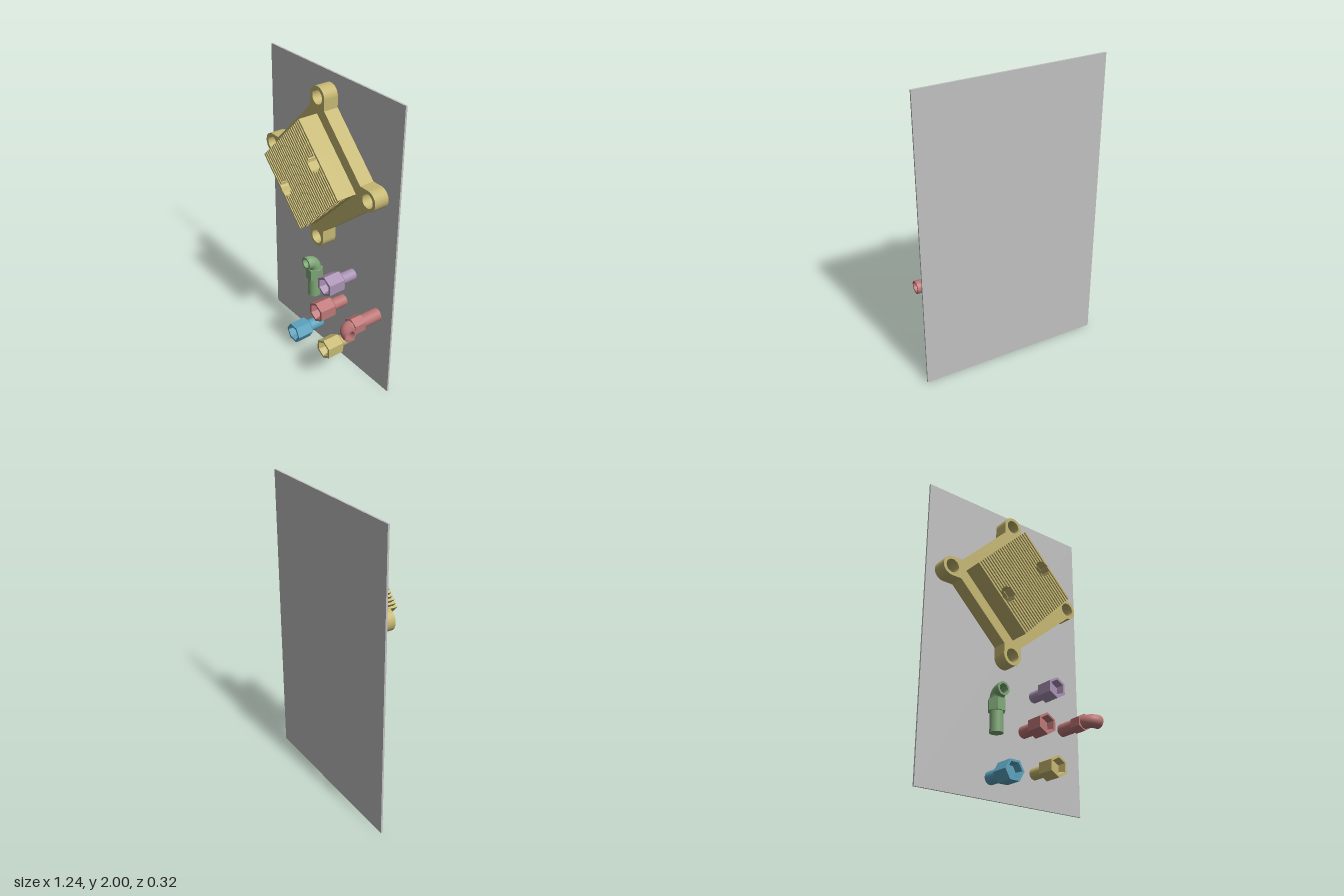
import * as THREE from 'three';

const colour = (name, hex) =>
  Object.assign(new THREE.MeshStandardMaterial({ color: hex, side: THREE.DoubleSide }), { name });

const PLATE_Z = -0.15; // front face of the backing plate

function add(parent, name, geometry, material) {
  const mesh = new THREE.Mesh(geometry, material);
  mesh.name = name;
  parent.add(mesh);
  return mesh;
}

function group(parent, name, x, y, z) {
  const g = new THREE.Group();
  g.name = name;
  g.position.set(x, y, z);
  parent.add(g);
  return g;
}

function circle(x, y, r) {
  const p = new THREE.Path();
  p.absarc(x, y, r, 0, Math.PI * 2, true);
  return p;
}

const extrude = (shape, z0, z1) =>
  new THREE.ExtrudeGeometry(shape, { depth: z1 - z0, bevelEnabled: false, curveSegments: 20 }).translate(0, 0, z0);

const polygon = (pts) => new THREE.Shape(pts.map(([x, y]) => new THREE.Vector2(x, y)));

// Round rod along +z
const rod = (r, z0, z1) =>
  new THREE.CylinderGeometry(r, r, z1 - z0, 32).rotateX(Math.PI / 2).translate(0, 0, (z0 + z1) / 2);

// Six-sided body along +z from [radius, z] pairs, corners at top and bottom
function hexBody(profile) {
  const g = new THREE.LatheGeometry(profile.map(([r, z]) => new THREE.Vector2(r, z)), 6).toNonIndexed();
  g.computeVertexNormals();
  return g.rotateX(Math.PI / 2);
}

function buildHeatSink(root, mat) {
  const sink = group(root, 'heatSink', -0.013, 1.39, 0);

  // Diamond base with a rounded, drilled ear at each corner
  const ear = 0.476, earR = 0.067;
  const base = new THREE.Shape();
  for (let k = 0; k < 4; k++) {
    const a = k * Math.PI / 2, c = Math.cos(a), s = Math.sin(a);
    const start = [0.408 * c + earR * s, 0.408 * s - earR * c];
    if (k === 0) base.moveTo(...start); else base.lineTo(...start);
    base.absarc(ear * c, ear * s, earR, a - Math.PI / 2, a + Math.PI / 2, false);
    base.lineTo(0.408 * c - earR * s, 0.408 * s + earR * c);
    base.holes.push(circle(ear * c, ear * s, 0.046));
  }
  base.closePath();
  add(sink, 'mountingBase', extrude(base, PLATE_Z, -0.05), mat);

  // Square block turned by 45 degrees, with two round pockets
  const block = group(sink, 'finBlock', 0, 0, 0);
  block.rotation.z = -Math.PI / 4;
  const H = 0.264, holeY = 0.202, holeR = 0.052, finZ = 0.015, topZ = 0.083;
  const body = polygon([[-H, -H], [H, -H], [H, H], [-H, H]]);
  body.holes.push(circle(0, holeY, holeR), circle(0, -holeY, holeR));
  add(block, 'blockBody', extrude(body, -0.05, finZ), mat);

  // Thin fins, cut away where they meet the pockets
  const count = 23, t = 0.0135, pitch = (2 * H - t) / (count - 1);
  const chord = (y) => Math.sqrt(Math.max(0, holeR ** 2 - (Math.abs(y) - holeY) ** 2));
  for (let i = 0; i < count; i++) {
    const y0 = -H + i * pitch, ym = y0 + t / 2, y1 = y0 + t;
    const [c0, cm, c1] = [y0, ym, y1].map(chord);
    if (c0 + cm + c1 === 0) {
      add(block, 'fin', extrude(polygon([[-H, y0], [H, y0], [H, y1], [-H, y1]]), finZ, topZ), mat);
      continue;
    }
    for (const s of [-1, 1]) {
      const half = [[s * c0, y0], [s * H, y0], [s * H, y1], [s * c1, y1], [s * cm, ym]];
      add(block, 'finHalf', extrude(polygon(half), finZ, topZ), mat);
    }
  }
}

// Straight fitting: round stem and socketed hexagonal head
function buildStraight(root, name, x, y, mat, stemR, turn = 0) {
  const f = group(root, name, x, y, 0);
  f.rotation.z = turn;
  add(f, 'stem', rod(stemR, PLATE_Z, -0.04), mat);
  add(f, 'hexHead', hexBody([
    [0, -0.046], [0.056, -0.046], [0.07, -0.032], [0.07, 0.083],
    [0.054, 0.083], [0.043, 0.035], [0, 0.035],
  ]), mat);
}

// Elbow fitting: stem along +z, hexagonal collar, open bend turning to +x
function buildElbow(root, name, x, y, z, mat) {
  const f = group(root, name, x, y, z);
  const R = 0.055, collarEnd = 0.213, mouthX = 0.07, outer = 0.044, bore = 0.031;
  add(f, 'stem', rod(0.043, 0, 0.14), mat);
  add(f, 'hexCollar', hexBody([[0, 0.135], [0.0575, 0.135], [0.0575, collarEnd], [0, collarEnd]]), mat);

  const pts = [];
  for (let i = 0; i <= 8; i++) {
    const a = i / 8 * Math.PI / 2;
    pts.push(new THREE.Vector3(R * (1 - Math.cos(a)), 0, collarEnd + R * Math.sin(a)));
  }
  pts.push(new THREE.Vector3(mouthX, 0, collarEnd + R));
  const path = new THREE.CatmullRomCurve3(pts);
  add(f, 'bend', new THREE.TubeGeometry(path, 20, outer, 32), mat);
  add(f, 'bendBore', new THREE.TubeGeometry(path, 20, bore, 32), mat);
  add(f, 'mouthRim', new THREE.RingGeometry(bore, outer, 32).rotateY(Math.PI / 2)
    .translate(mouthX, 0, collarEnd + R), mat);
  return f;
}

export function createModel() {
  const root = new THREE.Group();
  root.name = 'coolingPartsBoard';
  const grey = colour('plate grey', 0xc0c0c0);
  const gold = colour('brass gold', 0xc4b671);
  const red = colour('dusty red', 0xbc7676);
  const green = colour('sage green', 0x7fa877);
  const purple = colour('mauve', 0xa991b3);
  const blue = colour('steel blue', 0x5ba3be);

  // Backing plate
  add(root, 'backingPlate', new THREE.BoxGeometry(1.24, 2, 0.012).translate(0, 1, PLATE_Z - 0.006), grey);

  buildHeatSink(root, gold);

  buildStraight(root, 'mauveFitting', 0.24, 0.72, purple, 0.038);
  buildStraight(root, 'redFitting', 0.155, 0.467, red, 0.04);
  buildStraight(root, 'goldFitting', 0.24, 0.215, gold, 0.038);
  buildStraight(root, 'blueFitting', -0.098, 0.132, blue, 0.042, Math.PI / 2);

  buildElbow(root, 'redElbow', 0.483, 0.55, PLATE_Z, red);

  // The green elbow lies upright on the plate with its mouth to the front
  const upright = buildElbow(root, 'greenElbow', -0.098, 0.397, -0.097, green);
  upright.quaternion.setFromRotationMatrix(new THREE.Matrix4().makeBasis(
    new THREE.Vector3(0, 0, 1), new THREE.Vector3(1, 0, 0), new THREE.Vector3(0, 1, 0)));

  return root;
}
